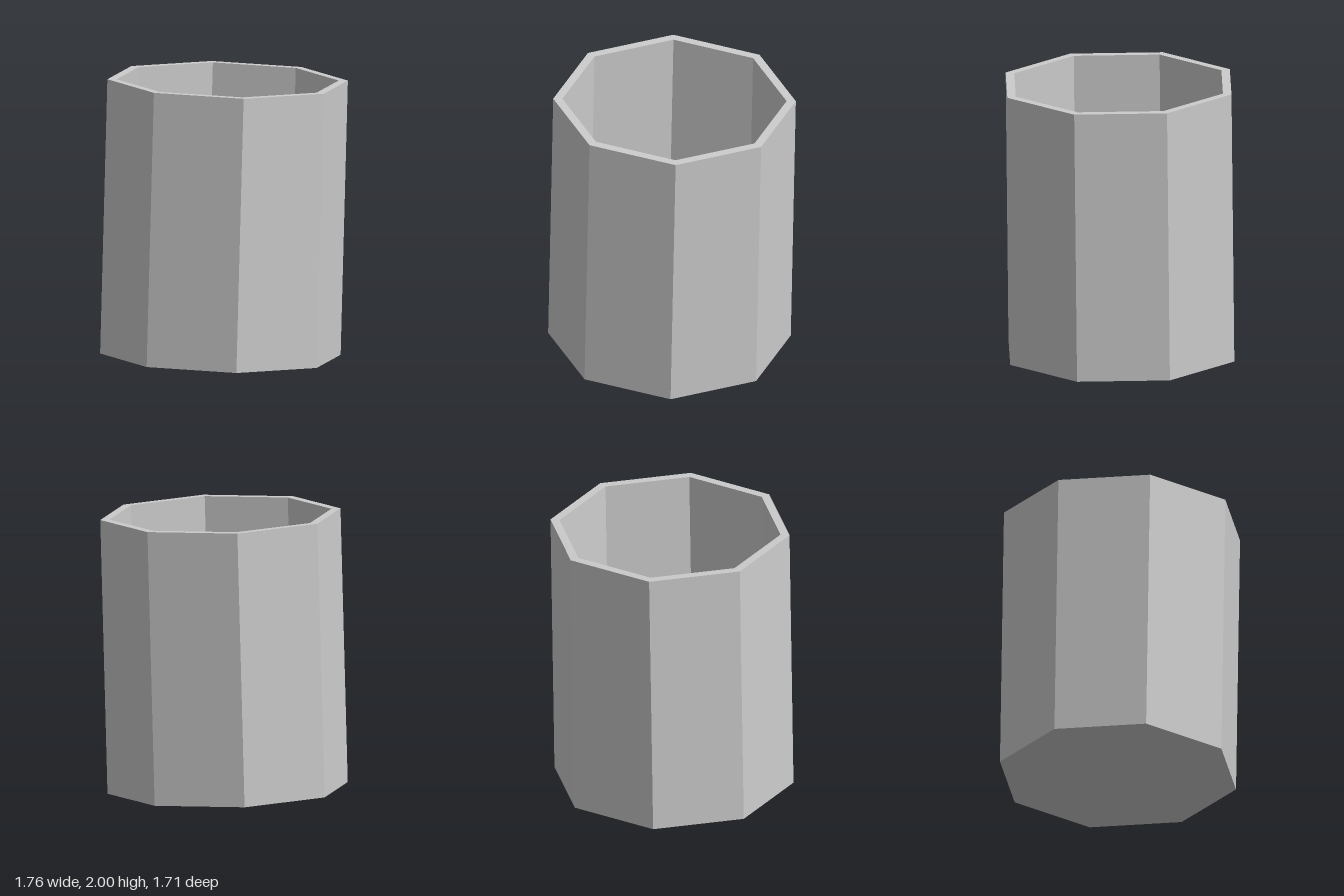
import * as THREE from 'three';

const SIDES = 8;
const HEIGHT = 1.956;
const OUTER = 0.855;
const INNER = 0.79;
const FLOOR = 0.06;

export function createModel() {
  const group = new THREE.Group();
  const material = new THREE.MeshStandardMaterial({ color: 0xcccccc, flatShading: true });

  // Closed profile: underside, outer wall, rim, inner wall, inside floor
  const h = HEIGHT / 2;
  const profile = [
    [0, -h], [OUTER, -h], [OUTER, h], [INNER, h], [INNER, -h + FLOOR], [0, -h + FLOOR],
  ].map(([r, y]) => new THREE.Vector2(r, y));

  const cup = new THREE.Mesh(new THREE.LatheGeometry(profile, SIDES), material);
  cup.name = 'octagonalCup';

  // Slight turn about its axis, then a slight lean towards +x
  cup.rotation.set(0, 0.03, -0.0262, 'ZYX');
  cup.position.y = 1;
  group.add(cup);
  return group;
}
